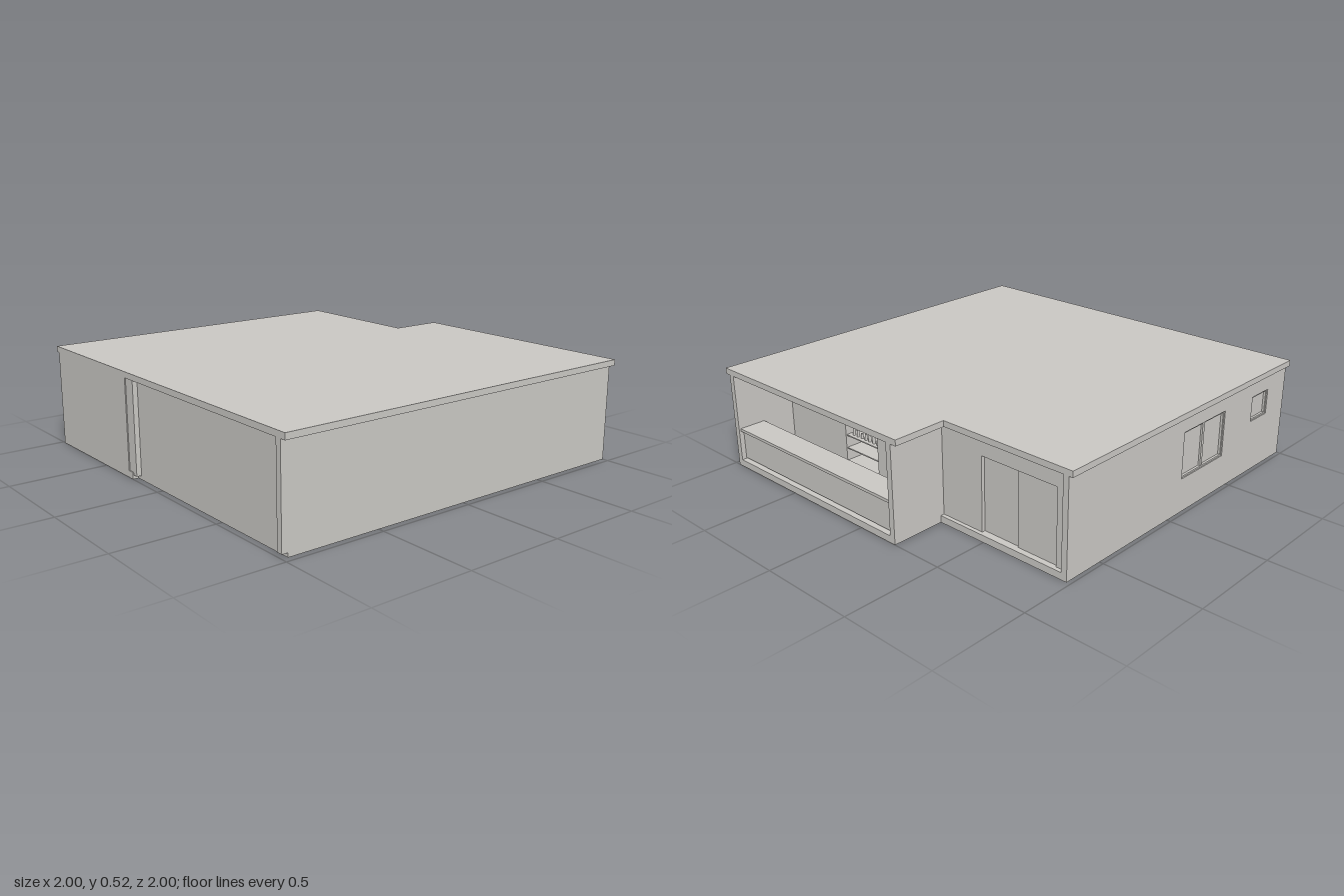
import * as THREE from 'three';

export function createModel() {
  const model = new THREE.Group();
  const plaster = new THREE.MeshStandardMaterial({ color: 0xc8c6c2 });
  plaster.name = 'pale plaster';

  function add(name, geometry) {
    const mesh = new THREE.Mesh(geometry, plaster);
    mesh.name = name;
    model.add(mesh);
    return mesh;
  }
  // Box given by its limits on each axis
  function box(name, x0, x1, y0, y1, z0, z1) {
    const g = new THREE.BoxGeometry(x1 - x0, y1 - y0, z1 - z0);
    g.translate((x0 + x1) / 2, (y0 + y1) / 2, (z0 + z1) / 2);
    return add(name, g);
  }
  const shapeOf = pts => new THREE.Shape(pts.map(p => new THREE.Vector2(...p)));
  const rect = (a0, a1, b0, b1) => [[a0, b0], [a1, b0], [a1, b1], [a0, b1]];
  // Plan outline (x, z) raised from y0 to y1
  function slab(name, pts, y0, y1) {
    const g = new THREE.ExtrudeGeometry(shapeOf(pts.map(([x, z]) => [x, -z])), { depth: y1 - y0, bevelEnabled: false });
    g.rotateX(-Math.PI / 2).translate(0, y0, 0);
    return add(name, g);
  }
  // Elevation outline (x, y) with holes, from z0 to z1
  function wall(name, pts, holes, z0, z1) {
    const s = shapeOf(pts);
    holes.forEach(h => s.holes.push(new THREE.Path(rect(...h).map(p => new THREE.Vector2(...p)))));
    const g = new THREE.ExtrudeGeometry(s, { depth: z1 - z0, bevelEnabled: false });
    return add(name, g.translate(0, 0, z0));
  }

  const TOP = 0.49;

  // Flat roof and floor, both with the missing back corner
  slab('roof', [[-1, -1], [0.72, -1], [0.72, -0.265], [1, -0.265], [1, 1], [-1, 1]], TOP, 0.52);
  slab('floor', [[-1, -0.98], [0.72, -0.98], [0.72, -0.23], [1, -0.23], [1, 0.97],
    [-0.97, 0.97], [-0.97, -0.23], [-1, -0.23]], 0, 0.035);

  // Front wall
  wall('frontWall', [[-0.97, 0], [1, 0], [1, TOP], [-1, TOP], [-1, 0.02], [-0.97, 0.02]], [], 0.94, 0.97);

  // Back wall with two windows
  const wide = [-0.44, -0.1, 0.175, 0.41], small = [-0.835, -0.69, 0.275, 0.405];
  wall('backWall', rect(-1, 0.72, 0, TOP), [wide, small], -0.98, -0.95);
  [wide, small].forEach(w => box('windowPane', w[0], w[1], w[2], w[3], -0.962, -0.955));
  box('windowMullion', -0.278, -0.262, 0.175, 0.41, -0.972, -0.96);
  [wide, small].forEach(([x0, x1, y0, y1]) => {
    const t = 0.008;
    wall('windowFrame', rect(x0, x1, y0, y1), [[x0 + t, x1 - t, y0 + t, y1 - t]], -0.974, -0.96);
  });

  // Left-hand end: solid wall, two posts and a recessed panel
  box('sideWall', -1, -0.97, 0, TOP, -0.96, -0.265);
  box('sidePost', -0.995, -0.95, 0.02, TOP, -0.265, -0.2);
  box('sidePanel', -0.97, -0.95, 0, TOP, -0.23, 0.95);

  // Set-back entrance wall with sliding doors
  box('entranceWall', 0.67, 0.7, 0.035, TOP, -0.475, -0.23);
  box('entranceWall', 0.67, 0.7, 0.035, TOP, -0.95, -0.905);
  box('entranceLintel', 0.67, 0.7, 0.41, TOP, -0.905, -0.475);
  box('slidingDoor', 0.672, 0.682, 0.035, 0.41, -0.7, -0.475);
  box('slidingDoor', 0.68, 0.69, 0.035, 0.41, -0.905, -0.68);

  // Wing wall between entrance and terrace
  box('wingWall', 0.67, 1, 0, TOP, -0.23, -0.2);

  // Terrace parapet with a wide sill
  box('parapet', 0.95, 0.975, 0.04, 0.19, -0.2, 0.94);
  box('parapetSill', 0.85, 0.99, 0.19, 0.205, -0.2, 0.94);

  // Inner wall behind the terrace, with a shelf niche
  box('innerWall', 0.64, 0.67, 0.035, TOP, 0.5, 0.94);
  box('innerWall', 0.64, 0.67, 0.035, TOP, -0.2, 0.26);
  box('innerLintel', 0.64, 0.67, 0.405, TOP, 0.26, 0.5);
  box('innerBeam', 0.67, 0.68, 0.415, TOP, -0.2, 0.94);
  box('innerDoor', 0.67, 0.678, 0.035, 0.415, -0.19, 0);
  box('nicheBack', 0.45, 0.47, 0.035, 0.41, 0.25, 0.51);
  box('nicheSide', 0.45, 0.65, 0.035, 0.41, 0.25, 0.26);
  box('nicheSide', 0.45, 0.65, 0.035, 0.41, 0.5, 0.51);
  [0.06, 0.13, 0.2, 0.27, 0.34].forEach(y => box('shelf', 0.46, 0.665, y - 0.006, y, 0.26, 0.5));

  // Small vessels on the shelves
  [0.2, 0.27].forEach((y, row) => {
    for (let i = 0; i < 7; i++) {
      const h = 0.025 + 0.006 * ((i * 3 + row) % 4);
      const g = new THREE.CylinderGeometry(0.006, 0.008, h, 10);
      add('vessel', g.translate(0.64, y + h / 2, 0.29 + i * 0.03));
    }
  });
  const ball = new THREE.SphereGeometry(0.013, 14, 10);
  add('shelfBall', ball.translate(0.64, 0.353, 0.34));

  return model;
}
